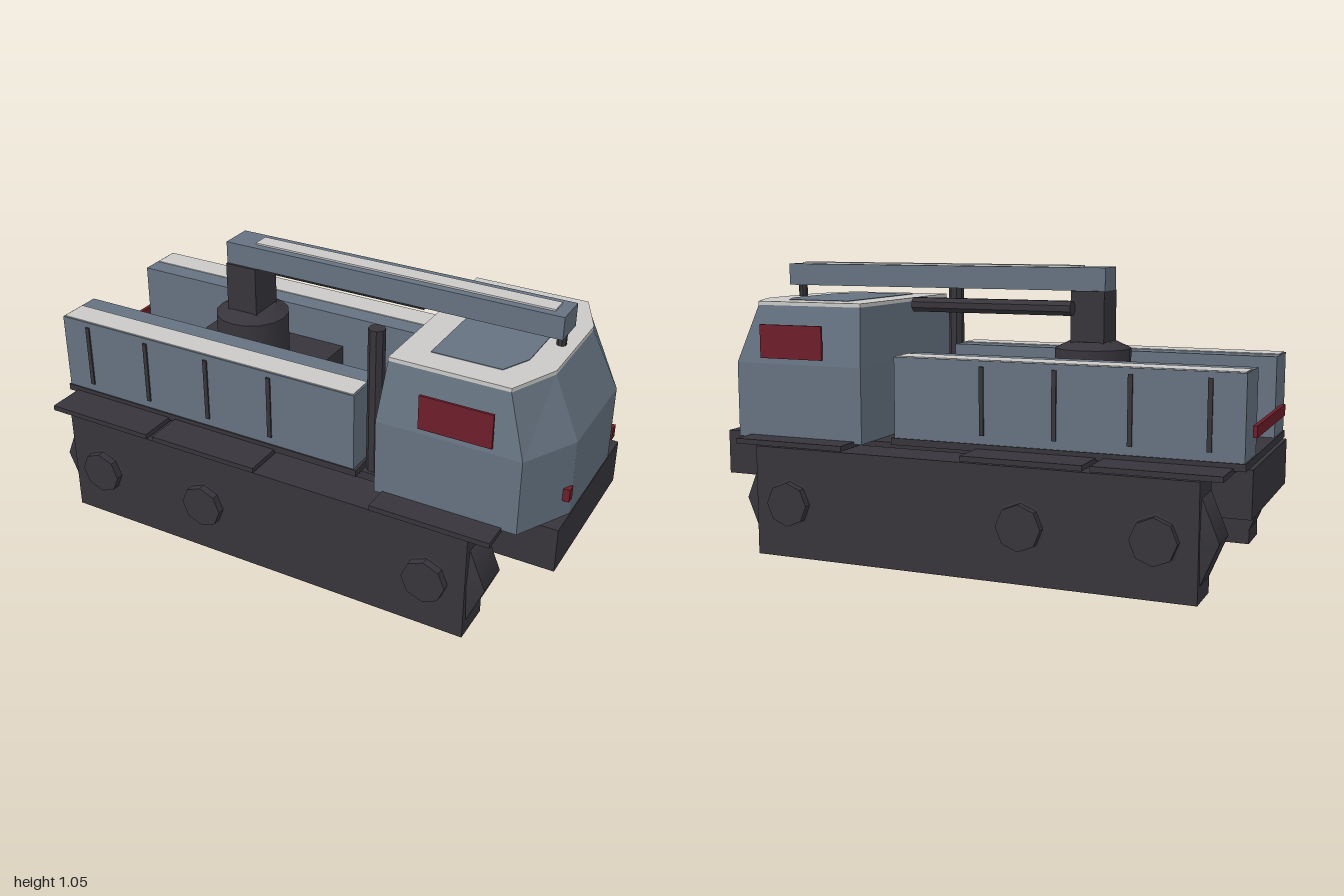
import * as THREE from 'three';

const paint = (name, color, side = THREE.FrontSide) => {
  const m = new THREE.MeshStandardMaterial({ color, side });
  m.name = name;
  return m;
};

export function createModel() {
  const dark = paint('charcoal', 0x37353b, THREE.DoubleSide);
  const blue = paint('slate blue', 0x657280);
  const light = paint('pale grey', 0xcac9c7);
  const red = paint('dark red', 0x6d1e2a);

  const model = new THREE.Group();
  model.name = 'craneTruck';

  const add = (name, geometry, material) => {
    const mesh = new THREE.Mesh(geometry, material);
    mesh.name = name;
    model.add(mesh);
    return mesh;
  };
  // Box given by its lower and upper limits on each axis
  const box = (name, material, x0, x1, y0, y1, z0, z1) => {
    const mesh = add(name, new THREE.BoxGeometry(x1 - x0, y1 - y0, Math.abs(z1 - z0)), material);
    mesh.position.set((x0 + x1) / 2, (y0 + y1) / 2, (z0 + z1) / 2);
    return mesh;
  };
  // Box without its bottom face
  const openBox = (...args) => {
    const g = box(...args).geometry;
    g.setIndex([...g.index.array].filter((v, i) => i < 18 || i >= 24));
    g.clearGroups();
  };
  const cylinder = (name, material, rTop, rBottom, height, sides, x, y, z) => {
    const mesh = add(name, new THREE.CylinderGeometry(rTop, rBottom, height, sides), material);
    mesh.position.set(x, y, z);
    return mesh;
  };
  // Flat-sided round bar, turned about its axis
  const prism = (name, material, r, height, turn, x, y, z) => {
    const g = new THREE.CylinderGeometry(r, r, height, 8).rotateY(turn).toNonIndexed();
    g.computeVertexNormals();
    const mesh = add(name, g, material);
    mesh.position.set(x, y, z);
    return mesh;
  };
  // Flat-faced solid through rings of [x, y, z] points, capped at both ends
  const loft = (name, material, rings) => {
    const p = [];
    const n = rings[0].length;
    for (let r = 0; r < rings.length - 1; r++) {
      for (let i = 0; i < n; i++) {
        const j = (i + 1) % n;
        const [a, b, c, d] = [rings[r][i], rings[r][j], rings[r + 1][j], rings[r + 1][i]];
        p.push(...a, ...b, ...c, ...a, ...c, ...d);
      }
    }
    const [bottom, top] = [rings[0], rings[rings.length - 1]];
    for (let i = 1; i < n - 1; i++) {
      p.push(...bottom[0], ...bottom[i + 1], ...bottom[i]);
      p.push(...top[0], ...top[i], ...top[i + 1]);
    }
    const g = new THREE.BufferGeometry();
    g.setAttribute('position', new THREE.Float32BufferAttribute(p, 3));
    g.computeVertexNormals();
    return add(name, g, material);
  };
  // Symmetric six-sided plan with chamfered front corners
  const plan = (y, back, corner, front, half, nose) => [
    [back, y, half], [corner, y, half], [front, y, nose],
    [front, y, -nose], [corner, y, -half], [back, y, -half],
  ];

  // Chassis, hollow underneath, and bed
  openBox('chassis', dark, -1, 1, 0.25, 0.415, -0.312, 0.312);
  box('bedFloor', dark, -0.985, 0.28, 0.415, 0.44, -0.355, 0.355);
  box('tailLightBar', red, -1, -0.985, 0.51, 0.55, -0.26, 0.26);

  // Running gear and cargo boxes, mirrored left and right
  for (const s of [1, -1]) {
    openBox('trackSkirt', dark, -0.87, 0.76, 0, 0.4, s * 0.33, s * 0.488);
    for (const x of [-0.73, -0.27, 0.62]) {
      const tyre = cylinder('wheel', dark, 0.2, 0.2, 0.13, 8, x, 0.2, s * 0.395);
      const rim = cylinder('wheelDish', dark, 0.08, 0.2, 0.03, 8, x, 0.2, s * 0.475);
      const hub = prism('wheelHub', dark, 0.08, 0.035, 0, x, 0.2, s * 0.5);
      for (const part of [tyre, rim, hub]) part.rotation.x = s * Math.PI / 2;
      box('fender', dark, x - 0.215, x + 0.218, 0.405, 0.424, s * 0.312, s * 0.497);
    }
    box('cargoBox', blue, -0.98, 0.268, 0.44, 0.73, s * 0.17, s * 0.35);
    box('cargoBoxTopStrip', light, -0.975, 0.262, 0.73, 0.733, s * 0.245, s * 0.345);
    for (let i = 0; i < 4; i++) {
      const x = -0.865 + i * 0.265;
      box('cargoRib', dark, x - 0.008, x + 0.008, 0.47, 0.71, s * 0.345, s * 0.356);
    }
    box('sideWindow', red, 0.53, 0.787, 0.71, 0.833, s * 0.396, s * 0.405);
    box('headlight', red, 0.975, 1.002, 0.48, 0.527, s * 0.206, s * 0.236);
  }

  // Cab
  loft('cabBody', blue, [
    plan(0.415, 0.375, 0.89, 0.998, 0.4, 0.2),
    plan(0.69, 0.375, 0.89, 0.998, 0.4, 0.2),
    plan(0.9, 0.395, 0.82, 0.9, 0.357, 0.18),
  ]);
  loft('cabRoof', light, [0.9, 0.914].map((y) => plan(y, 0.395, 0.82, 0.9, 0.357, 0.18)));
  loft('roofHatch', blue, [0.912, 0.9165].map((y) => plan(y, 0.5, 0.75, 0.8, 0.26, 0.155)));

  // Crane pedestal and mast
  box('craneBase', dark, -0.61, -0.06, 0.44, 0.6, -0.17, 0.17);
  cylinder('turntable', dark, 0.137, 0.137, 0.155, 16, -0.355, 0.6775, 0);
  cylinder('turntableCollar', dark, 0.085, 0.137, 0.025, 16, -0.355, 0.7675, 0);
  box('mast', dark, -0.417, -0.293, 0.77, 0.96, -0.071, 0.071);

  // Boom, strut, hook and exhaust
  box('boom', blue, -0.417, 0.872, 0.96, 1.042, -0.062, 0.062);
  box('boomTopStrip', light, -0.31, 0.83, 1.042, 1.048, -0.032, 0.032);
  const flat = Math.PI / 8;
  prism('strut', dark, 0.028, 0.62, flat, 0, 0.9, -0.1).rotation.z = Math.PI / 2;
  prism('hook', dark, 0.017, 0.06, flat, 0.85, 0.935, 0);
  prism('exhaustPipe', dark, 0.03, 0.55, flat, 0.31, 0.685, 0.272);

  return model;
}
